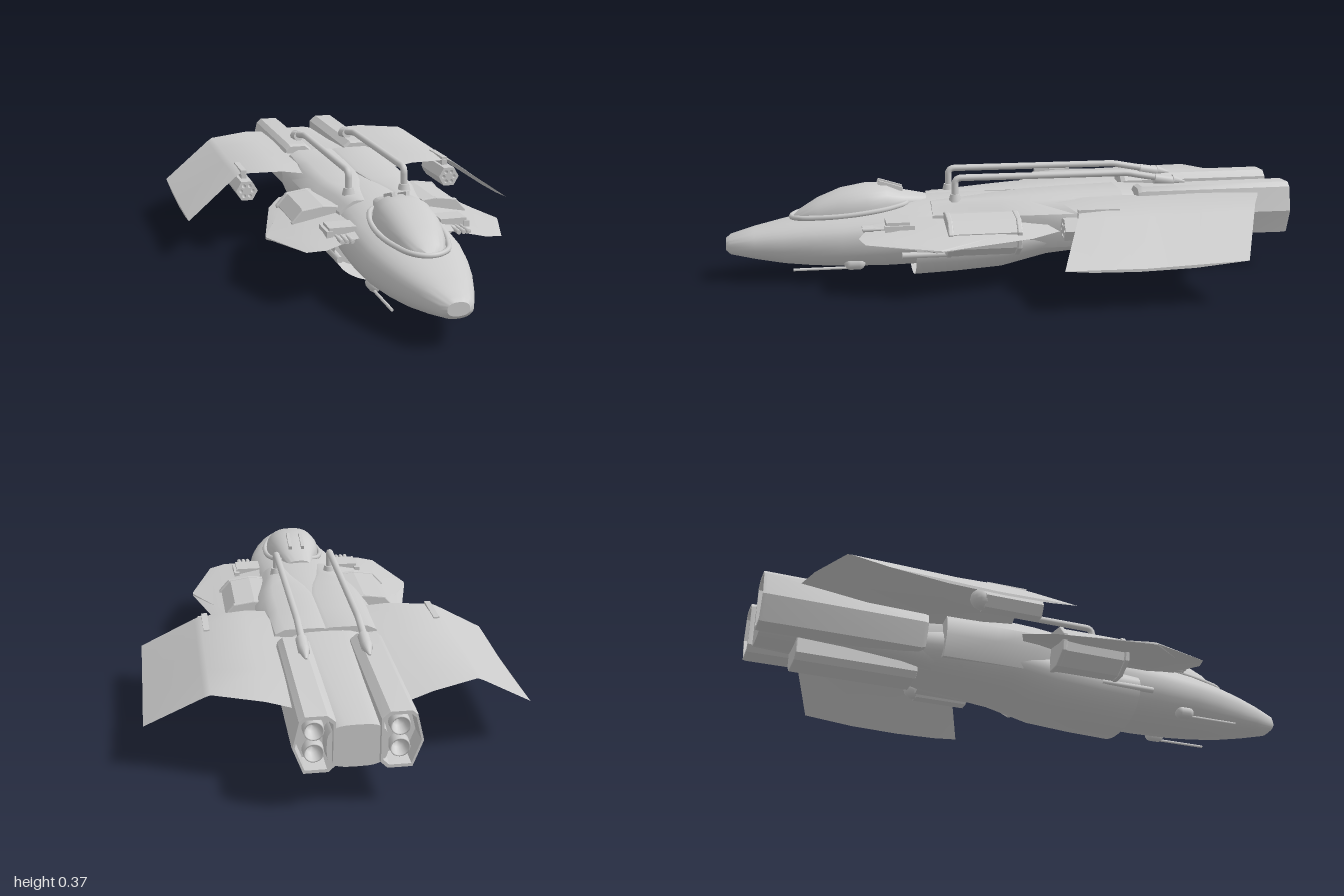
import * as THREE from 'three';
import { toCreasedNormals } from 'three/addons/utils/BufferGeometryUtils.js';

const mat = new THREE.MeshStandardMaterial({ color: 0xcccccc, side: THREE.DoubleSide });
const V = (x, y, z) => new THREE.Vector3(x, y, z);

function add(parent, name, geo, x = 0, y = 0, z = 0) {
  const m = new THREE.Mesh(geo, mat);
  m.name = name;
  m.position.set(x, y, z);
  parent.add(m);
  return m;
}

// Skin a row of closed rings, with fan caps; the winding is set from the signed volume
function skin(rings, { crease = 0.6, capStart = true, capEnd = true } = {}) {
  const n = rings[0].length, tris = [];
  const mid = r => r.reduce((s, p) => s.add(p), V(0, 0, 0)).divideScalar(n);
  for (let i = 0; i < rings.length - 1; i++)
    for (let j = 0; j < n; j++) {
      const k = (j + 1) % n, [a, b] = [rings[i], rings[i + 1]];
      tris.push([a[j], a[k], b[k]], [a[j], b[k], b[j]]);
    }
  const first = rings[0], last = rings[rings.length - 1];
  const [c0, c1] = [mid(first), mid(last)];
  for (let j = 0; j < n; j++) {
    const k = (j + 1) % n;
    if (capStart) tris.push([first[k], first[j], c0]);
    if (capEnd) tris.push([last[j], last[k], c1]);
  }
  const vol = tris.reduce((s, [a, b, c]) => s + a.clone().sub(c0).dot(b.clone().sub(c0).cross(c.clone().sub(c0))), 0);
  const pts = tris.flatMap(t => (vol < 0 ? [t[0], t[2], t[1]] : t));
  return toCreasedNormals(new THREE.BufferGeometry().setFromPoints(pts), crease);
}

// Rounded hull along z; each section is [z, half width, widest y, top, bottom], e < 1 is boxier
function hull(sections, e = 0.85, options) {
  const n = 32, pw = v => Math.sign(v) * Math.abs(v) ** e;
  return skin(sections.map(([z, w, y, top, bot]) => Array.from({ length: n }, (_, i) => {
    const a = (i / n) * Math.PI * 2, s = pw(Math.sin(a));
    return V(w * pw(Math.cos(a)), y + s * (s > 0 ? top - y : y - bot), z);
  })), options);
}

// Straight prism along z from an xy outline, with optional round holes [x, y, radius]
function prism(outline, z0, z1, bevel = 0, holes = []) {
  const s = new THREE.Shape(outline.map(p => new THREE.Vector2(...p)));
  for (const [x, y, r] of holes) s.holes.push(new THREE.Path().absarc(x, y, r, 0, Math.PI * 2, true));
  return new THREE.ExtrudeGeometry(s, {
    depth: z1 - z0 - 2 * bevel, bevelEnabled: bevel > 0, bevelSize: bevel, bevelThickness: bevel,
    bevelOffset: -bevel, bevelSegments: 2, curveSegments: 16,
  }).translate(0, 0, z0 + bevel);
}

const rod = (r, len, n = 12, r2 = r) => new THREE.CylinderGeometry(r, r2, len, n).rotateX(Math.PI / 2);

// Everything that exists on both flanks, made for +x
function buildFlank() {
  const g = new THREE.Group();

  // Upper fuselage shoulder, leaving a tapering slot for the spine
  add(g, 'shoulder', skin([
    [0.29, 0.06, 0.155, 0.272], [0.18, 0.05, 0.165, 0.28], [0.05, 0.015, 0.195, 0.287],
    [-0.05, 0, 0.205, 0.293], [-0.2, 0, 0.205, 0.3], [-0.38, 0, 0.2, 0.305],
  ].map(([z, xi, w, t]) => [
    V(xi, 0.15, z), V(xi, t - 0.004, z), V(xi + 0.012, t, z), V(w * 0.68, t, z), V(w * 0.84, t - 0.015, z),
    V(w, 0.235, z), V(w, 0.18, z), V(w * 0.85, 0.11, z),
  ])));

  // Forward wing, gently drooping
  add(g, 'forwardWing', skin([
    [0.1, 0.5, -0.05, 0.215, 0.02], [0.17, 0.51, -0.09, 0.205, 0.018], [0.27, 0.55, -0.135, 0.19, 0.013],
    [0.33, 0.53, -0.03, 0.182, 0.01], [0.41, 0.31, 0.285, 0.17, 0.004],
  ].map(([x, f, b, y, t]) => [
    V(x, y, f), V(x, y + t, f * 0.8 + b * 0.2), V(x, y + t, f * 0.25 + b * 0.75),
    V(x, y, b), V(x, y - t, f * 0.25 + b * 0.75), V(x, y - t, f * 0.8 + b * 0.2),
  ])));

  // Rear wing, nearly level inboard and bent down outboard
  add(g, 'rearWing', skin([
    [0.12, -0.13, -0.9, 0.265, 0.02], [0.25, -0.148, -0.85, 0.282, 0.015], [0.405, -0.17, -0.78, 0.279, 0.01],
    [0.425, -0.163, -0.772, 0.268, 0.008], [0.61, -0.08, -0.69, 0.14, 0.004],
  ].map(([x, f, b, y, t]) => {
    const at = (u, side) => V(x, y + side * t - 0.012 * Math.sin(u * Math.PI) + 0.01 * u, f + (b - f) * u);
    return [at(0, 0), at(0.15, 1), at(0.4, 1), at(0.7, 1), at(1, 0), at(0.7, -1), at(0.4, -1), at(0.15, -1)];
  })));

  // Hexagonal multi-barrel pod under the rear wing
  const pod = new THREE.Group();
  pod.name = 'underwingPod';
  pod.position.set(0.39, 0.225, -0.24);
  g.add(pod);
  const hex = Array.from({ length: 6 }, (_, i) => [0.04 * Math.cos(i * Math.PI / 3), 0.04 * Math.sin(i * Math.PI / 3)]);
  const bores = Array.from({ length: 6 }, (_, i) => [0.021 * Math.cos(i * Math.PI / 3), 0.021 * Math.sin(i * Math.PI / 3), 0.007]);
  add(pod, 'podTube', prism(hex, -0.08, 0.12, 0, bores));
  const podTail = add(pod, 'podTail', new THREE.SphereGeometry(0.036, 16, 10), 0, 0, -0.08);
  podTail.scale.z = 1.2;
  add(pod, 'podPylon', new THREE.BoxGeometry(0.02, 0.05, 0.14), 0, 0.04, 0);

  // Flank nacelle crossing the forward wing, with a lip at each end
  const nac = [[0.15, 0.11], [0.24, 0.11], [0.295, 0.145], [0.305, 0.2], [0.27, 0.24], [0.2, 0.25], [0.15, 0.245]];
  add(g, 'nacelle', prism(nac, 0.005, 0.245, 0.006));
  const lip = nac.map(([x, y]) => [0.15 + (x - 0.15) * 1.05, 0.18 + (y - 0.18) * 1.04]);
  for (const z of [0, 0.235]) add(g, 'nacelleLip', prism(lip, z, z + 0.018, 0.004));

  // Cheek gun cluster
  add(g, 'gunHousing', new THREE.BoxGeometry(0.09, 0.035, 0.08), 0.19, 0.215, 0.415);
  add(g, 'gunBracket', new THREE.BoxGeometry(0.02, 0.025, 0.1), 0.235, 0.21, 0.41);
  for (const x of [0.18, 0.197, 0.214]) {
    add(g, 'gunBarrel', rod(0.005, 0.09, 10), x, 0.207, 0.49);
    add(g, 'gunMuzzle', rod(0.0075, 0.035, 10), x, 0.207, 0.515);
  }

  // Chin gun: rounded blister with a thin barrel
  const blister = add(g, 'chinBlister', new THREE.CapsuleGeometry(0.022, 0.03, 6, 14).rotateX(Math.PI / 2), 0.12, 0.07, 0.56);
  blister.scale.y = 1.1;
  add(g, 'chinBarrel', rod(0.005, 0.2, 8), 0.125, 0.055, 0.67);
  add(g, 'lowerTube', rod(0.011, 0.2, 12), 0.185, 0.105, 0.3);

  // Raised dorsal pipe with a foot flange and tapered tail fitting
  const path = new THREE.CurvePath(), P = [[0.205, 0.265], [0.205, 0.335], [0.18, 0.355], [-0.4, 0.355], [-0.44, 0.35], [-0.58, 0.325]]
    .map(([z, y]) => V(0.1, y, z));
  path.add(new THREE.LineCurve3(P[0], P[1]));
  path.add(new THREE.QuadraticBezierCurve3(P[1], V(0.1, 0.355, 0.205), P[2]));
  path.add(new THREE.LineCurve3(P[2], P[3]));
  path.add(new THREE.QuadraticBezierCurve3(P[3], V(0.1, 0.355, -0.42), P[4]));
  path.add(new THREE.LineCurve3(P[4], P[5]));
  add(g, 'dorsalPipe', new THREE.TubeGeometry(path, 90, 0.012, 12));
  add(g, 'pipeFoot', new THREE.CylinderGeometry(0.017, 0.023, 0.025, 16), 0.1, 0.285, 0.205);
  add(g, 'pipeFitting', rod(0.019, 0.07, 14), 0.1, 0.325, -0.55).rotation.x = -0.17;
  add(g, 'pipeTip', rod(0.019, 0.05, 14, 0.004), 0.1, 0.32, -0.605).rotation.x = -0.17;

  // Engine block: hollow faceted shell with two stacked nozzles
  const ring = (k, z) => [[0.065, 0.15], [0.085, 0.13], [0.16, 0.13], [0.192, 0.215], [0.172, 0.3], [0.155, 0.316], [0.09, 0.316], [0.065, 0.295]]
    .map(([x, y]) => V(0.128 + (x - 0.128) * k, 0.222 + (y - 0.222) * k, z));
  add(g, 'engineShell', skin([ring(0.9, -0.44), ring(0.97, -0.455), ring(1, -0.99), ring(0.98, -1), ring(0.87, -1), ring(0.82, -0.93)], { crease: 0.4 }));
  for (const y of [0.185, 0.256]) {
    const bell = [[0.02, 0], [0.032, 0.025], [0.03, 0.055], [0.026, 0.055], [0.018, 0.02], [0, 0.015]];
    add(g, 'nozzle', new THREE.LatheGeometry(bell.map(p => new THREE.Vector2(...p)), 20).rotateX(-Math.PI / 2), 0.126, y, -0.925);
  }
  return g;
}

export function createModel() {
  const model = new THREE.Group();

  add(model, 'fuselage', hull([
    [1, 0.035, 0.125, 0.148, 0.105], [0.985, 0.053, 0.125, 0.16, 0.092], [0.9, 0.088, 0.13, 0.184, 0.074],
    [0.8, 0.122, 0.137, 0.206, 0.057], [0.7, 0.147, 0.145, 0.224, 0.047], [0.6, 0.165, 0.15, 0.24, 0.042],
    [0.45, 0.173, 0.16, 0.258, 0.038], [0.3, 0.17, 0.17, 0.276, 0.04], [0.1, 0.15, 0.17, 0.282, 0.05], [-0.2, 0.12, 0.17, 0.285, 0.09],
  ]));

  // Canopy bubble, its rim and rear ribs
  add(model, 'canopy', hull([
    [0.765, 0.02, 0.205, 0.222, 0.18], [0.74, 0.053, 0.21, 0.243, 0.18], [0.68, 0.078, 0.217, 0.28, 0.18],
    [0.6, 0.095, 0.226, 0.312, 0.18], [0.51, 0.1, 0.235, 0.328, 0.18], [0.44, 0.088, 0.245, 0.325, 0.18],
    [0.38, 0.065, 0.255, 0.3, 0.18], [0.3, 0.045, 0.26, 0.284, 0.18],
  ], 0.8));
  const half = [[0.02, 0.218, 0.77], [0.06, 0.222, 0.745], [0.085, 0.226, 0.68], [0.102, 0.232, 0.6], [0.106, 0.242, 0.51], [0.094, 0.253, 0.43], [0.066, 0.264, 0.375]];
  const rim = [...half.map(p => V(...p)), ...half.map(([x, y, z]) => V(-x, y, z)).reverse()];
  add(model, 'canopyRim', new THREE.TubeGeometry(new THREE.CatmullRomCurve3(rim, true), 80, 0.009, 8, true));
  for (const x of [-0.024, 0.024])
    add(model, 'canopyRib', new THREE.BoxGeometry(0.012, 0.014, 0.09), x, 0.32, 0.425).rotation.x = -0.3;

  // Belly hull with an open crescent scoop at its front
  add(model, 'bellyScoop', hull([
    [0.35, 0.19, 0.12, 0.19, 0.0], [0.2, 0.195, 0.12, 0.21, 0.007], [0.04, 0.195, 0.13, 0.22, 0.018],
    [-0.04, 0.19, 0.14, 0.23, 0.038], [-0.12, 0.185, 0.15, 0.24, 0.058], [-0.38, 0.17, 0.17, 0.25, 0.08], [-0.48, 0.13, 0.18, 0.25, 0.1],
  ], 0.95, { capStart: false }));
  add(model, 'scoopBackWall', hull([[0.22, 0.185, 0.12, 0.19, 0.012], [0.2, 0.185, 0.12, 0.19, 0.012]], 0.95));

  // Tail core between the engines and the keel box beneath it
  add(model, 'tailCore', hull([
    [-0.3, 0.17, 0.19, 0.295, 0.085], [-0.4, 0.145, 0.19, 0.293, 0.09], [-0.5, 0.13, 0.2, 0.288, 0.11],
    [-0.7, 0.11, 0.2, 0.278, 0.125], [-0.985, 0.09, 0.2, 0.272, 0.135],
  ], 0.6));
  add(model, 'keelBox', prism([[-0.05, 0.065], [0.05, 0.065], [0.07, 0.085], [0.07, 0.16], [-0.07, 0.16], [-0.07, 0.085]], -0.86, -0.44, 0.004));

  // Matching flanks
  const left = buildFlank();
  left.name = 'leftFlank';
  const right = left.clone();
  right.name = 'rightFlank';
  right.scale.x = -1;
  model.add(left, right);
  return model;
}
